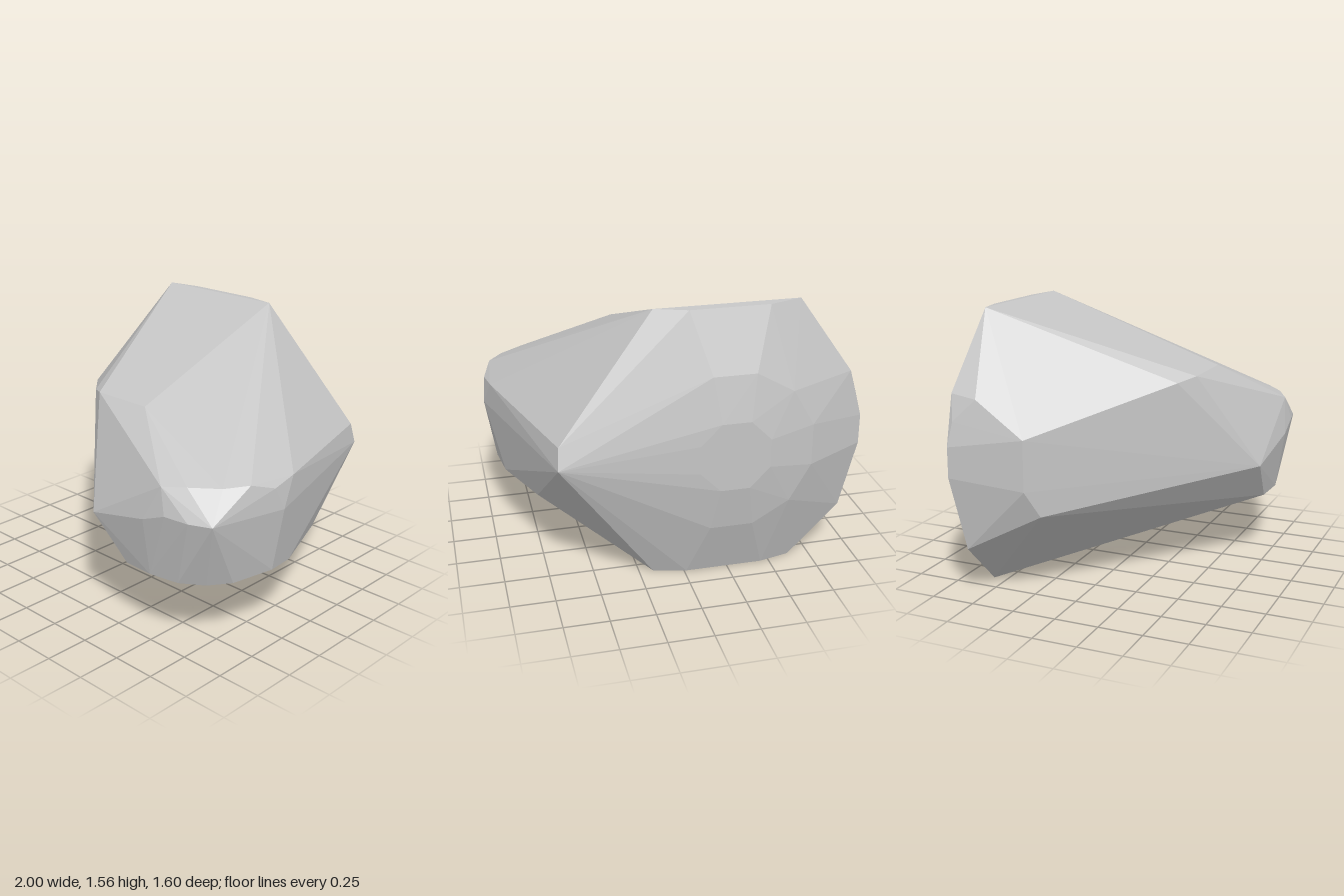
import * as THREE from 'three';
import { ConvexGeometry } from 'three/addons/geometries/ConvexGeometry.js';

const MID = 0.78; // height of the rock's waist

export function createModel() {
  const group = new THREE.Group();
  group.name = 'boulder';
  const stone = new THREE.MeshStandardMaterial({ color: 0xc5c5c5 });
  stone.name = 'grey stone';

  const points = [];
  const add = (x, y, z) => points.push(new THREE.Vector3(x, y, z));

  // Corners repeated above and below the waist
  const mirrored = [
    [-0.63, 0.78, -0.58], [0.17, 0.78, -0.58],
    [-0.45, 0.775, -0.63], [-0.01, 0.775, -0.63],
    [-1, 0.085, -0.62],
  ];
  for (const [x, dy, z] of mirrored) {
    add(x, MID + dy, z);
    add(x, MID - dy, z);
  }

  // Shallow faceted dome on the back: [radius, z, sides]
  for (const [r, z, sides] of [[0.21, -0.8, 8], [0.46, -0.75, 12]]) {
    for (let i = 0; i < sides; i++) {
      const a = ((i + 0.5) / sides) * Math.PI * 2;
      add(-0.23 + r * Math.cos(a), MID + r * Math.sin(a), z);
    }
  }

  // Irregular chipped corners
  const chips = [
    // left side
    [-0.93, 1.12, -0.48], [-0.92, 1.14, -0.63], [-0.97, 1.0, -0.6], [-0.93, 0.28, -0.56],
    [-0.94, 0.93, -0.2], [-0.94, 0.65, -0.2], [-0.87, 0.5, -0.14],
    // front ridge
    [-0.28, 1.155, 0.4], [-0.17, 1.18, 0.47], [0.19, 1.18, 0.47], [0.09, 0.63, 0.77],
    // upper rim of the nose
    [0.6, 0.93, 0.765], [0.72, 0.94, 0.7], [0.86, 0.94, 0.59],
    [0.94, 0.945, 0.47], [0.985, 0.9, 0.33], [0.965, 0.92, 0.16],
    // middle of the nose
    [0.5, 0.73, 0.8], [0.65, 0.79, 0.795], [0.79, 0.785, 0.77],
    [0.91, 0.785, 0.72], [1, 0.77, 0.27],
    // lower rim
    [0.31, 0.39, 0.735], [0.5, 0.397, 0.75], [0.67, 0.393, 0.715], [0.79, 0.39, 0.63],
    [0.87, 0.388, 0.51], [0.94, 0.405, 0.28], [0.91, 0.39, 0.1], [0.77, 0.41, -0.29],
    // rear right point
    [0.71, 0.78, -0.755], [0.7, 0.9, -0.72],
  ];
  for (const p of chips) add(...p);

  const rock = new THREE.Mesh(new ConvexGeometry(points), stone);
  rock.name = 'rock';
  group.add(rock);
  return group;
}
